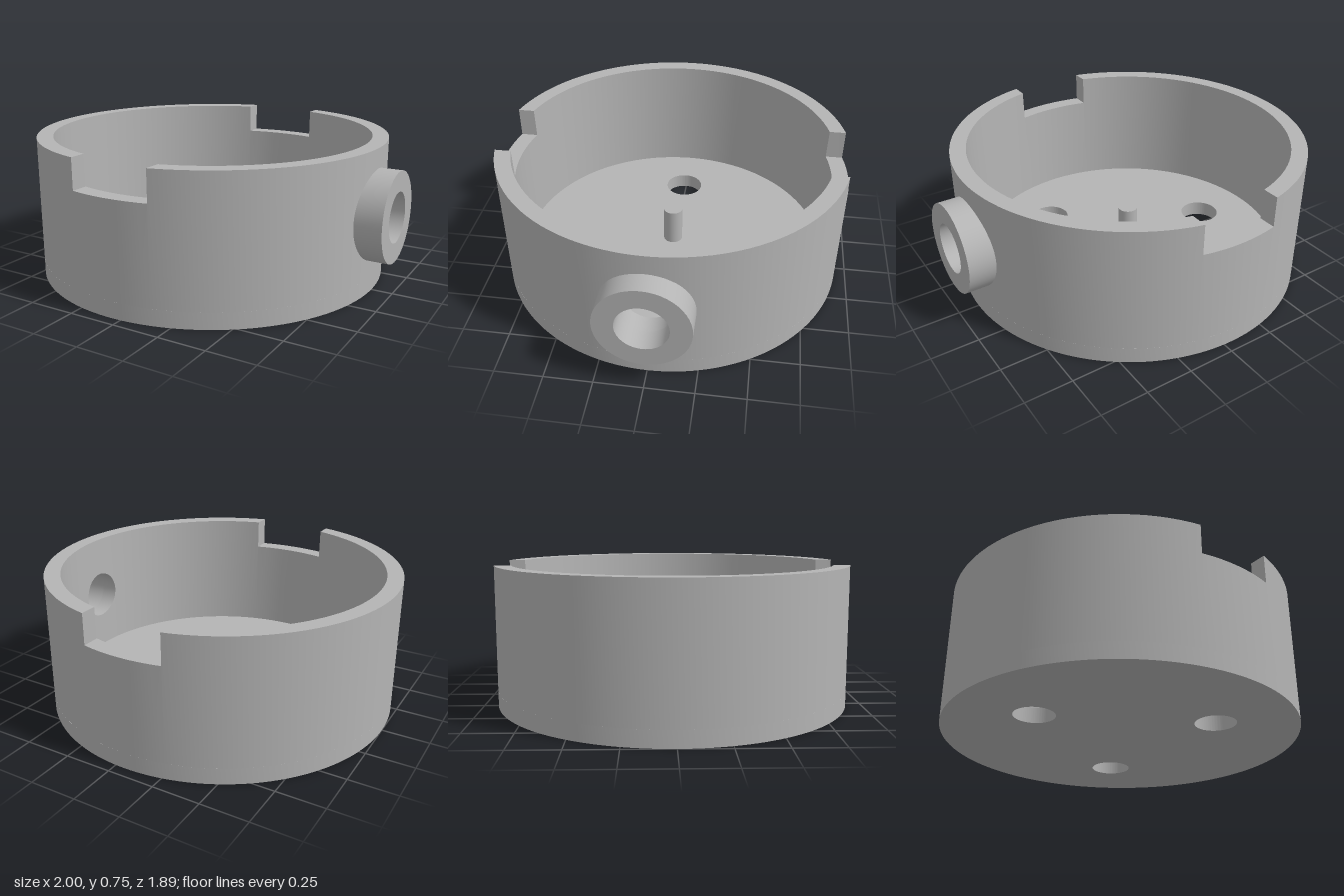
import * as THREE from 'three';
import { toCreasedNormals } from 'three/addons/utils/BufferGeometryUtils.js';

const CX = -0.055;                 // cup axis
const R = 0.945, R_TOP = 0.86, R_FLOOR = 0.85;
const FLOOR = 0.085, RIM = 0.745, NOTCH = 0.585, NOTCH_HALF = 0.212;
const PORT_Y = 0.405, PORT_R = 0.13, BOSS_R = 0.235;

const innerRadius = y => R_FLOOR + (R_TOP - R_FLOOR) * (y - FLOOR) / (RIM - FLOOR);
const point = (r, a, y) => [CX + r * Math.cos(a), y, r * Math.sin(a)];

// Adds a curved wall piece; each column has outer/inner angles and a height range
function addWall(out, cols, caps = false) {
  const quad = (a, b, c, d) => out.push(...a, ...b, ...c, ...a, ...c, ...d);
  const corners = cols.map(({ ao, ai, lo, hi }) => ({
    ol: point(R, ao, lo), oh: point(R, ao, hi),
    il: point(innerRadius(lo), ai, lo), ih: point(innerRadius(hi), ai, hi),
  }));
  for (let i = 0; i < corners.length - 1; i++) {
    const p = corners[i], q = corners[i + 1];
    quad(p.ol, p.oh, q.oh, q.ol);
    quad(p.il, q.il, q.ih, p.ih);
    quad(p.oh, p.ih, q.ih, q.oh);
    quad(p.ol, q.ol, q.il, p.il);
  }
  if (caps) {
    const s = corners[0], e = corners[corners.length - 1];
    quad(s.ol, s.il, s.ih, s.oh);
    quad(e.ol, e.oh, e.ih, e.il);
  }
}

// Columns between two [outer, inner] angle pairs
function arc(from, to, hi, n) {
  return Array.from({ length: n + 1 }, (_, i) => ({
    ao: THREE.MathUtils.lerp(from[0], to[0], i / n),
    ai: THREE.MathUtils.lerp(from[1], to[1], i / n),
    lo: FLOOR, hi,
  }));
}

function wallGeometry() {
  const pos = [];
  const n = [Math.acos(NOTCH_HALF / R), Math.acos(NOTCH_HALF / R_TOP)];
  const angleAt = z => [Math.asin(z / R), Math.asin(z / 0.855)];
  const shift = (k, s) => n.map(a => k * Math.PI + s * a);

  // plain side, and the two notched stretches
  addWall(pos, arc(shift(1, -1), shift(1, 1), RIM, 48), true);
  addWall(pos, arc(shift(0, 1), shift(1, -1), NOTCH, 8));
  addWall(pos, arc(shift(1, 1), shift(2, -1), NOTCH, 8));

  // port side: full-height stretches around the round opening
  const side = [
    ...arc(shift(0, -1), angleAt(-PORT_R), RIM, 20),
  ];
  addWall(pos, side, true);
  addWall(pos, arc(angleAt(PORT_R), shift(0, 1), RIM, 20), true);
  const below = [], above = [];
  for (let i = 0; i <= 24; i++) {
    const t = Math.PI * i / 24;
    const [ao, ai] = angleAt(-PORT_R * Math.cos(t));
    const h = PORT_R * Math.sin(t);
    below.push({ ao, ai, lo: FLOOR, hi: PORT_Y - h });
    above.push({ ao, ai, lo: PORT_Y + h, hi: RIM });
  }
  addWall(pos, below);
  addWall(pos, above);

  const geo = new THREE.BufferGeometry();
  geo.setAttribute('position', new THREE.Float32BufferAttribute(pos, 3));
  return toCreasedNormals(geo, 0.6);
}

function floorGeometry() {
  const disc = new THREE.Shape().absarc(0, 0, R, 0, Math.PI * 2, false);
  for (let i = 0; i < 3; i++) {
    const a = Math.PI / 3 + i * Math.PI * 2 / 3;
    disc.holes.push(new THREE.Path().absarc(0.53 * Math.cos(a), 0.53 * Math.sin(a), 0.108, 0, Math.PI * 2, true));
  }
  const geo = new THREE.ExtrudeGeometry(disc, { depth: FLOOR, bevelEnabled: false, curveSegments: 96 });
  geo.rotateX(-Math.PI / 2).translate(CX, 0, 0);
  return toCreasedNormals(geo, 0.6);
}

function bossGeometry() {
  const profile = [[BOSS_R, 0.85], [BOSS_R, 1], [PORT_R, 1], [PORT_R, 0.87]]
    .map(([r, y]) => new THREE.Vector2(r, y));
  const geo = new THREE.LatheGeometry(profile, 48);
  geo.rotateZ(-Math.PI / 2).translate(0, PORT_Y, 0);
  return toCreasedNormals(geo, 0.6);
}

export function createModel() {
  const group = new THREE.Group();
  group.name = 'notchedCup';
  const grey = new THREE.MeshStandardMaterial({ color: 0xb4b4b4 });
  grey.name = 'plainGrey';

  const add = (name, geo) => {
    const mesh = new THREE.Mesh(geo, grey);
    mesh.name = name;
    group.add(mesh);
  };
  add('wall', wallGeometry());
  add('floor', floorGeometry());
  add('sidePort', bossGeometry());

  // small upright pin in the middle of the floor
  const pinTop = 0.295;
  const pin = new THREE.CylinderGeometry(0.053, 0.053, pinTop - FLOOR + 0.02, 32);
  pin.translate(CX, (pinTop + FLOOR - 0.02) / 2, 0);
  add('centrePin', pin);
  return group;
}
